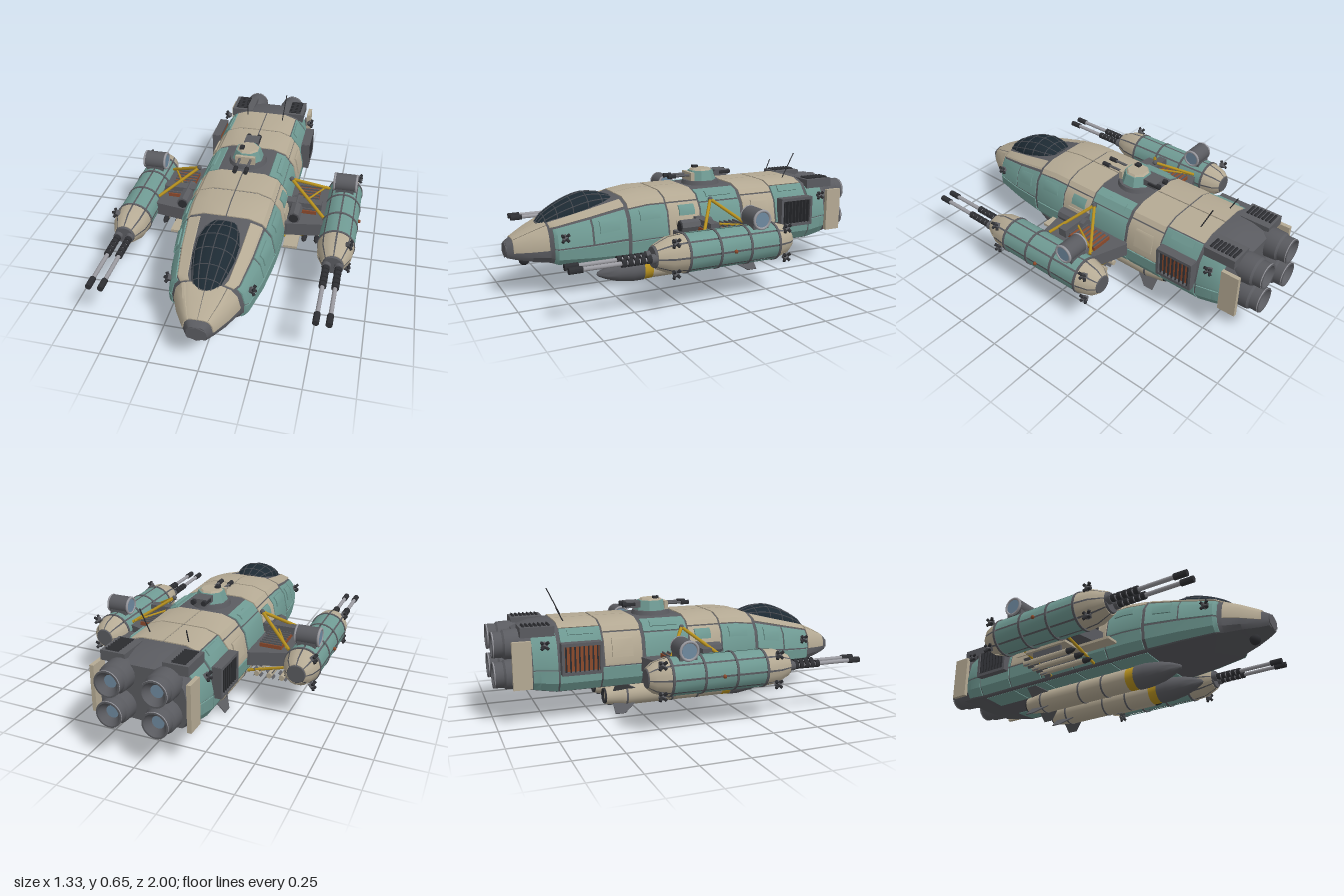
import * as THREE from 'three';
import { toCreasedNormals } from 'three/addons/utils/BufferGeometryUtils.js';

const C = { dark: 0x5a5b60, cream: 0xb5aa94, teal: 0x6f9a93, yellow: 0xb8921f, rust: 0x8c4a2c,
  glass: 0x1d2a33, frame: 0x4a4e55, black: 0x2e2f33, steel: 0x9a9aa0, lens: 0x6f8aa0 };
const mats = {};
const mat = (c) => (mats[c] ??= new THREE.MeshStandardMaterial({ color: C[c], side: THREE.DoubleSide }));

function add(parent, name, geo, color, pos = [0, 0, 0], rot = [0, 0, 0]) {
  const m = new THREE.Mesh(geo, mat(color));
  m.name = name;
  m.position.set(...pos);
  m.rotation.set(...rot);
  parent.add(m);
  return m;
}
const box = (w, h, d) => new THREE.BoxGeometry(w, h, d);
// Turned part along z; profile is [z, radius] from back to front
const turned = (pts, seg = 16, start = 0, len = Math.PI * 2) => toCreasedNormals(
  new THREE.LatheGeometry(pts.map(([z, r]) => new THREE.Vector2(r, z)), seg, start, len).rotateX(Math.PI / 2), 0.6);
const tube = (z0, z1, r, seg = 12) => turned([[z0, 0], [z0, r], [z1, r], [z1, 0]], seg);
function rod(parent, name, a, b, r, color, seg = 6) {
  const A = new THREE.Vector3(...a), B = new THREE.Vector3(...b), d = B.clone().sub(A);
  const m = add(parent, name, new THREE.CylinderGeometry(r, r, d.length(), seg), color, A.clone().lerp(B, 0.5).toArray());
  m.quaternion.setFromUnitVectors(new THREE.Vector3(0, 1, 0), d.normalize());
}
function gridGeometry(rows, flip) {
  const n = rows[0].length, idx = [];
  for (let j = 0; j < rows.length - 1; j++) for (let i = 0; i < n - 1; i++) {
    const a = j * n + i, u = a + 1, z = a + n;
    idx.push(...(flip ? [a, u, z, u, z + 1, z] : [a, z, u, u, z, z + 1]));
  }
  const g = new THREE.BufferGeometry();
  g.setAttribute('position', new THREE.Float32BufferAttribute(rows.flat(2), 3));
  g.setIndex(idx);
  return toCreasedNormals(g, 0.5);
}

// Hull stations [z, half width, bottom, top] and unit half section from roof to keel
const stations = [[-0.88, 0.225, 0.185, 0.465], [-0.78, 0.25, 0.17, 0.495], [-0.7, 0.262, 0.158, 0.503],
  [0.3, 0.262, 0.16, 0.503], [0.42, 0.255, 0.162, 0.485], [0.6, 0.232, 0.17, 0.44], [0.77, 0.195, 0.18, 0.397],
  [0.8, 0.162, 0.187, 0.385], [0.88, 0.125, 0.196, 0.35], [0.95, 0.08, 0.205, 0.315], [0.995, 0.05, 0.215, 0.29]];
const section = [[0, 1], [0.45, 1], [0.72, 0.93], [0.91, 0.74], [1, 0.42], [0.985, 0.18], [0.86, 0.03], [0, 0]];
function sample(list, t) {
  let i = 0;
  while (i < list.length - 2 && t > list[i + 1][0]) i++;
  const k = (t - list[i][0]) / (list[i + 1][0] - list[i][0]);
  return list[i].map((v, n) => v + (list[i + 1][n] - v) * k);
}
const indexed = section.map((p, i) => [i, ...p]);
function hullPoint(z, u, side, lift = 0, scale = 1) {
  const [, w, b, t] = sample(stations, z), [, px, py] = sample(indexed, u);
  const mid = (b + t) / 2, x = w * px, y = b + (t - b) * py - mid;
  const k = scale * (1 + lift / Math.hypot(x, y));
  return [side * x * k, mid + y * k, z];
}
// Raised plate on both flanks of the hull, with sunk edges
function panel(parent, name, z0, z1, u0, u1, color, lift = 0.006) {
  const g = 0.005, a = z0 + g, b = z1 - g, c = u0 + (u0 ? 0.05 : 0.03), d = u1 - 0.05;
  const zs = [a, a, ...stations.map((s) => s[0]).filter((z) => z > a && z < b), b, b];
  const us = [c, c, ...section.map((_, i) => i).filter((u) => u > c && u < d), d, d];
  for (const s of [1, -1]) {
    const rows = zs.map((z, j) => us.map((u, i) => {
      const edge = j === 0 || i === 0 || j === zs.length - 1 || i === us.length - 1;
      return hullPoint(z, u, s, edge ? -0.004 : lift);
    }));
    add(parent, name, gridGeometry(rows, s < 0), color);
  }
}

function buildHull(root) {
  const hull = new THREE.Group();
  hull.name = 'hull';
  root.add(hull);
  const ends = [[-0.88, 0], ...stations.map((s) => [s[0], 1]), [0.995, 0]];
  for (const s of [1, -1])
    add(hull, 'hullShell', gridGeometry(ends.map(([z, k]) => section.map((_, u) => hullPoint(z, u, s, 0, k))), s < 0), 'dark');
  const plates = [
    [0.8, 0.97, 0, 1.6, 'cream'], [0.8, 0.97, 1.6, 4.2, 'cream'], [0.42, 0.8, 1.15, 2.2, 'cream'],
    [0.6, 0.79, 2.3, 4, 'teal'], [0.42, 0.6, 2.3, 4, 'teal'], [0.42, 0.79, 4.05, 5.9, 'teal'],
    [0.2, 0.41, 0, 2.4, 'cream'], [0.2, 0.41, 2.4, 4.2, 'teal'], [0.01, 0.2, 0, 2.4, 'cream'],
    [0.01, 0.2, 2.4, 4.2, 'cream'], [-0.24, 0.01, 1.3, 2.6, 'teal'], [-0.24, 0.01, 2.6, 4.2, 'teal'],
    [-0.46, -0.25, 0, 2.4, 'cream'], [-0.46, -0.25, 2.4, 4.2, 'cream'], [-0.68, -0.46, 0, 1.9, 'cream'],
    [-0.68, -0.46, 1.9, 4.2, 'teal'], [-0.82, -0.69, 2.2, 4.2, 'teal'], [-0.82, -0.69, 4.2, 5.9, 'teal']];
  for (const p of plates) panel(hull, 'hullPlate', ...p);
  for (let i = 0; i < 5; i++) {
    const z = 0.41 - i * 0.22;
    panel(hull, 'lowerPlate', z - 0.22, z, 4.2, 5.9, 'teal');
    panel(hull, 'bellyPlate', z - 0.22, z, 6.05, 6.7, 'teal');
  }
  for (const [z0, z1, u0, u1, c] of [[0.04, 0.14, 2.6, 3.3, 'teal'], [-0.2, -0.04, 1.7, 2.3, 'teal'], [-0.64, -0.5, 2, 2.5, 'teal'],
    [0.24, 0.36, 2.6, 3.3, 'teal'], [0.46, 0.57, 2.6, 3.5, 'teal'], [-0.42, -0.3, 2.8, 3.8, 'cream'], [0.05, 0.16, 3.4, 4, 'cream']])
    panel(hull, 'hatch', z0, z1, u0, u1, c, 0.013);
  add(hull, 'noseBumper', new THREE.CylinderGeometry(0.055, 0.055, 0.03, 6).rotateX(Math.PI / 2).scale(1, 0.75, 1), 'dark', [0, 0.252, 0.985]);
  add(hull, 'chinSensor', new THREE.SphereGeometry(0.028, 12, 8), 'black', [0, 0.185, 0.9]);
  add(hull, 'bellyMount', box(0.075, 0.07, 0.5), 'dark', [0, 0.13, 0.05]);
  // Antennas
  rod(hull, 'antenna', [0.11, 0.5, -0.6], [0.123, 0.65, -0.67], 0.003, 'black');
  rod(hull, 'antenna', [-0.112, 0.5, -0.63], [-0.12, 0.58, -0.67], 0.003, 'black');
}

function buildCanopy(root) {
  const canopy = new THREE.Group();
  canopy.name = 'canopy';
  root.add(canopy);
  const prof = [[0.44, 0.07, 0.486], [0.5, 0.095, 0.505], [0.58, 0.11, 0.513], [0.66, 0.107, 0.492],
    [0.74, 0.092, 0.455], [0.8, 0.075, 0.415], [0.835, 0.055, 0.375]];
  const at = ([z, w, top], a, k = 1) => {
    const base = sample(stations, z)[3] - 0.02;
    return [-Math.cos(a) * w * k, base + Math.max(top - base, 0.01) * Math.sin(a) ** 0.8 * k, z];
  };
  const angles = Array.from({ length: 13 }, (_, i) => (Math.PI * i) / 12);
  add(canopy, 'canopyGlass', gridGeometry([prof[0], ...prof, prof[6]].map((p, j) =>
    angles.map((a) => at(p, a, j === 0 || j === 8 ? 0.01 : 1)))), 'glass');
  const strip = (pts) => add(canopy, 'canopyFrame', new THREE.TubeGeometry(
    new THREE.CatmullRomCurve3(pts.map((p) => new THREE.Vector3(...p))), 16, 0.003, 4), 'frame');
  for (const p of prof) strip(angles.map((a) => at(p, a)));
  for (let i = 0; i <= 12; i += 2) strip(prof.map((p) => at(p, angles[i])));
}

function buildTurret(root) {
  const t = new THREE.Group();
  t.name = 'turret';
  t.position.set(0, 0.5, -0.12);
  root.add(t);
  add(t, 'turretRing', new THREE.CylinderGeometry(0.1, 0.11, 0.03, 20), 'dark', [0, 0.01, 0]);
  const oct = (r0, r1, h) => toCreasedNormals(new THREE.CylinderGeometry(r0, r1, h, 8).rotateY(Math.PI / 8), 0.3);
  add(t, 'turretBody', oct(0.07, 0.09, 0.055), 'teal', [0, 0.05, 0]);
  add(t, 'turretRoof', oct(0.055, 0.066, 0.012), 'cream', [0, 0.081, 0]);
  add(t, 'turretFace', box(0.11, 0.045, 0.02), 'cream', [0, 0.048, 0.075]);
  add(t, 'turretBustle', box(0.08, 0.035, 0.08), 'dark', [0, 0.058, -0.11]);
  add(t, 'turretSight', box(0.025, 0.02, 0.03), 'black', [-0.03, 0.09, 0.02]);
  for (const x of [-0.03, 0.03]) {
    add(t, 'turretBarrel', tube(0.07, 0.2, 0.007), 'dark', [x, 0.055, 0]);
    add(t, 'turretMuzzle', tube(0.17, 0.215, 0.012), 'black', [x, 0.055, 0]);
    add(t, 'turretCounterweight', tube(-0.17, -0.1, 0.014), 'black', [x, 0.06, 0]);
  }
}

// Cluster of four small manoeuvring nozzles
function thrusters(parent, x, y, z) {
  add(parent, 'thrusterBlock', box(0.025, 0.025, 0.025), 'dark', [x, y, z], [0.5, 0, 0.78]);
  for (const a of [0.8, 2.4, 3.9, 5.5])
    rod(parent, 'thrusterNozzle', [x, y, z], [x + Math.sign(x) * 0.015, y + 0.025 * Math.cos(a), z + 0.025 * Math.sin(a)], 0.008, 'black', 8);
}

function buildNacelle(root, s) {
  const n = new THREE.Group();
  n.name = 'nacelle';
  n.position.set(0.555 * s, 0.285, 0);
  root.add(n);
  add(n, 'nacelleCore', turned([[-0.34, 0], [-0.34, 0.045], [-0.31, 0.068], [-0.25, 0.088], [0.28, 0.09], [0.36, 0.08], [0.43, 0.05], [0.43, 0]], 24), 'dark');
  const bands = [[[[-0.335, 0.052], [-0.305, 0.076], [-0.235, 0.095]], 'cream'], [[[-0.225, 0.096], [-0.07, 0.096]], 'teal'],
    [[[-0.06, 0.096], [0.1, 0.096]], 'teal'], [[[0.11, 0.096], [0.265, 0.096]], 'teal'],
    [[[0.275, 0.096], [0.35, 0.089], [0.42, 0.058]], 'cream']];
  for (const [pts, color] of bands) for (let i = 0; i < 8; i++) {
    const closed = [[pts[0][0], pts[0][1] - 0.012], ...pts, [pts.at(-1)[0], pts.at(-1)[1] - 0.012]];
    add(n, 'nacellePlate', turned(closed, 3, (i * Math.PI) / 4 + 0.05, Math.PI / 4 - 0.1), color);
  }
  for (const z of [-0.23, -0.065, 0.105, 0.27]) add(n, 'nacelleRib', tube(z - 0.006, z + 0.006, 0.1, 24), 'dark');
  // Twin guns
  for (const x of [-0.031, 0.031]) {
    add(n, 'gunBarrel', tube(0.4, 0.8, 0.011), 'steel', [x, 0, 0]);
    add(n, 'gunMuzzle', tube(0.78, 0.845, 0.016), 'black', [x, 0, 0]);
    add(n, 'gunSocket', tube(0.4, 0.45, 0.024), 'dark', [x, 0, 0]);
    for (let i = 0; i < 5; i++) add(n, 'gunSleeve', tube(0.45 + i * 0.031, 0.472 + i * 0.031, 0.019), 'black', [x, 0, 0]);
  }
  // Transverse scanner drum
  add(n, 'drumBase', box(0.1, 0.04, 0.09), 'dark', [0, 0.095, -0.14]);
  add(n, 'drum', new THREE.CylinderGeometry(0.05, 0.05, 0.12, 24), 'dark', [0, 0.13, -0.14], [0, 0, Math.PI / 2]);
  for (const x of [-0.06, 0.06]) {
    add(n, 'drumRim', new THREE.TorusGeometry(0.045, 0.007, 8, 24), 'steel', [x, 0.13, -0.14], [0, Math.PI / 2, 0]);
    add(n, 'drumFace', new THREE.CylinderGeometry(0.038, 0.038, 0.004, 20), 'lens', [x, 0.13, -0.14], [0, 0, Math.PI / 2]);
  }
  for (const z of [0.34, -0.28]) for (const y of [-0.075, 0.075]) thrusters(n, s * 0.068, y, z);
  add(n, 'sideLamp', new THREE.SphereGeometry(0.01, 8, 6), 'rust', [s * 0.1, 0, 0.03]);
}

function buildPylon(root, s) {
  const p = new THREE.Group();
  p.name = 'pylon';
  root.add(p);
  // Tapered wing root between hull and nacelle
  const shape = new THREE.Shape([[0.2, -0.27], [0.28, -0.26], [0.47, -0.19], [0.47, 0.15], [0.28, 0.18], [0.2, 0.18]]
    .map(([x, z]) => new THREE.Vector2(s * x, z)));
  add(p, 'wingRoot', new THREE.ExtrudeGeometry(shape, { depth: 0.075, bevelEnabled: false }).rotateX(Math.PI / 2), 'dark', [0, 0.32, 0]);
  add(p, 'radiator', box(0.12, 0.03, 0.24), 'rust', [s * 0.36, 0.325, -0.05]);
  for (let i = 0; i < 9; i++) add(p, 'radiatorFin', box(0.12, 0.012, 0.006), 'dark', [s * 0.36, 0.344, -0.16 + i * 0.0275]);
  add(p, 'conduit', box(0.19, 0.045, 0.05), 'dark', [s * 0.35, 0.355, 0.03]);
  add(p, 'sidePod', tube(-0.02, 0.16, 0.035, 8), 'dark', [s * 0.31, 0.345, 0]);
  add(p, 'sidePodMouth', tube(0.155, 0.165, 0.026, 8), 'black', [s * 0.31, 0.345, 0]);
  // Yellow braces
  for (const z of [-0.18, 0.105]) {
    rod(p, 'upperBrace', [s * 0.265, 0.463, -0.04], [s * 0.465, 0.335, z], 0.009, 'yellow');
    rod(p, 'lowerBrace', [s * 0.24, 0.172, z], [s * 0.47, 0.235, z], 0.008, 'yellow');
  }
  rod(p, 'crossBrace', [s * 0.45, 0.345, -0.18], [s * 0.29, 0.36, 0.11], 0.006, 'yellow');
  add(p, 'braceJoint', new THREE.SphereGeometry(0.014, 8, 6), 'dark', [s * 0.265, 0.463, -0.04]);
  // Missile rack
  add(p, 'rackPlate', box(0.2, 0.014, 0.26), 'cream', [s * 0.36, 0.225, -0.05]);
  add(p, 'rackStep', box(0.075, 0.014, 0.2), 'cream', [s * 0.312, 0.235, 0.17]);
  for (const x of [0.298, 0.367, 0.437]) {
    const m = new THREE.Group();
    m.name = 'missile';
    m.position.set(s * x, 0.172, 0);
    p.add(m);
    add(m, 'missileBody', tube(-0.2, 0.08, 0.015), 'cream');
    add(m, 'missileNose', turned([[0.08, 0.016], [0.11, 0.014], [0.135, 0]], 12), 'black');
    add(m, 'missileRail', box(0.014, 0.04, 0.18), 'dark', [0, 0.03, -0.05]);
    for (const a of [0.785, -0.785]) add(m, 'missileFins', box(0.06, 0.003, 0.04), 'dark', [0, 0, -0.17], [0, 0, a]);
  }
}

function buildTorpedo(root, s) {
  const t = new THREE.Group();
  t.name = 'torpedo';
  t.position.set(0.115 * s, 0.088, 0);
  root.add(t);
  add(t, 'torpedoBody', turned([[-0.42, 0], [-0.42, 0.045], [-0.34, 0.055], [-0.32, 0.06], [0.25, 0.06], [0.25, 0]], 24), 'cream');
  add(t, 'torpedoBand', tube(0.25, 0.3, 0.0605, 24), 'yellow');
  add(t, 'torpedoNose', turned([[0.3, 0.064], [0.36, 0.064], [0.44, 0.052], [0.5, 0.033], [0.545, 0.012], [0.553, 0]], 24), 'dark');
  for (const z of [-0.31, -0.05, 0.1]) add(t, 'torpedoRing', tube(z - 0.005, z + 0.005, 0.0625, 24), 'dark');
  add(t, 'torpedoNozzle', turned([[-0.4, 0], [-0.425, 0.03], [-0.43, 0.04], [-0.4, 0.045]], 20), 'black');
  // Swept tail fins
  const fin = new THREE.Shape([[0.04, -0.24], [0.115, -0.33], [0.115, -0.385], [0.04, -0.385]].map(([x, z]) => new THREE.Vector2(x, -z)));
  for (let i = 0; i < 4; i++)
    add(t, 'torpedoFin', new THREE.ExtrudeGeometry(fin, { depth: 0.005, bevelEnabled: false }).rotateX(-Math.PI / 2), 'dark', [0, 0, 0], [0, 0, Math.PI / 4 + (i * Math.PI) / 2]);
  for (const z of [0.2, -0.15]) rod(t, 'torpedoHanger', [0, 0.05, z], [-s * 0.03, 0.1, z], 0.015, 'dark');
}

function buildStern(root, s) {
  const e = new THREE.Group();
  e.name = 'stern';
  root.add(e);
  // Paired main engines
  for (const y of [0.255, 0.41]) {
    add(e, 'engineBell', turned([[-0.93, 0], [-0.985, 0.05], [-1, 0.058], [-1, 0.066], [-0.95, 0.066], [-0.94, 0.075], [-0.88, 0.078], [-0.84, 0.07]], 24), 'dark', [s * 0.118, y, 0]);
    add(e, 'engineRim', new THREE.TorusGeometry(0.062, 0.005, 8, 24), 'steel', [s * 0.118, y, -0.994]);
    add(e, 'engineCore', tube(-0.965, -0.93, 0.034, 20), 'lens', [s * 0.118, y, 0]);
  }
  // Louvred engine cowl
  add(e, 'cowl', box(0.13, 0.05, 0.17), 'dark', [s * 0.16, 0.48, -0.785]);
  for (let i = 0; i < 7; i++) add(e, 'cowlLouvre', box(0.07, 0.012, 0.01), 'black', [s * 0.17, 0.507, -0.85 + i * 0.021], [0.5, 0, 0]);
  add(e, 'sternPlate', box(0.022, 0.24, 0.095), 'cream', [s * 0.247, 0.322, -0.87]);
  add(e, 'sternFrame', box(0.03, 0.16, 0.04), 'dark', [s * 0.235, 0.32, -0.85]);
  // Flank radiator with slats over a warm core
  for (const z of [-0.483, -0.677]) add(e, 'ventFrame', box(0.05, 0.16, 0.014), 'dark', [s * 0.278, 0.345, z]);
  for (const y of [0.272, 0.418]) add(e, 'ventFrame', box(0.05, 0.016, 0.2), 'dark', [s * 0.278, y, -0.58]);
  add(e, 'ventCore', box(0.03, 0.14, 0.19), 'rust', [s * 0.268, 0.345, -0.58]);
  for (let i = 0; i < 8; i++) add(e, 'ventSlat', box(0.025, 0.135, 0.007), 'black', [s * 0.288, 0.345, -0.66 + i * 0.023], [0, 0.3 * s, 0]);
  thrusters(e, s * 0.265, 0.42, -0.76);
  thrusters(e, s * 0.205, 0.33, 0.74);
}

export function createModel() {
  const root = new THREE.Group();
  root.name = 'gunship';
  buildHull(root);
  buildCanopy(root);
  buildTurret(root);
  for (const s of [1, -1]) for (const build of [buildNacelle, buildPylon, buildTorpedo, buildStern]) build(root, s);
  return root;
}
